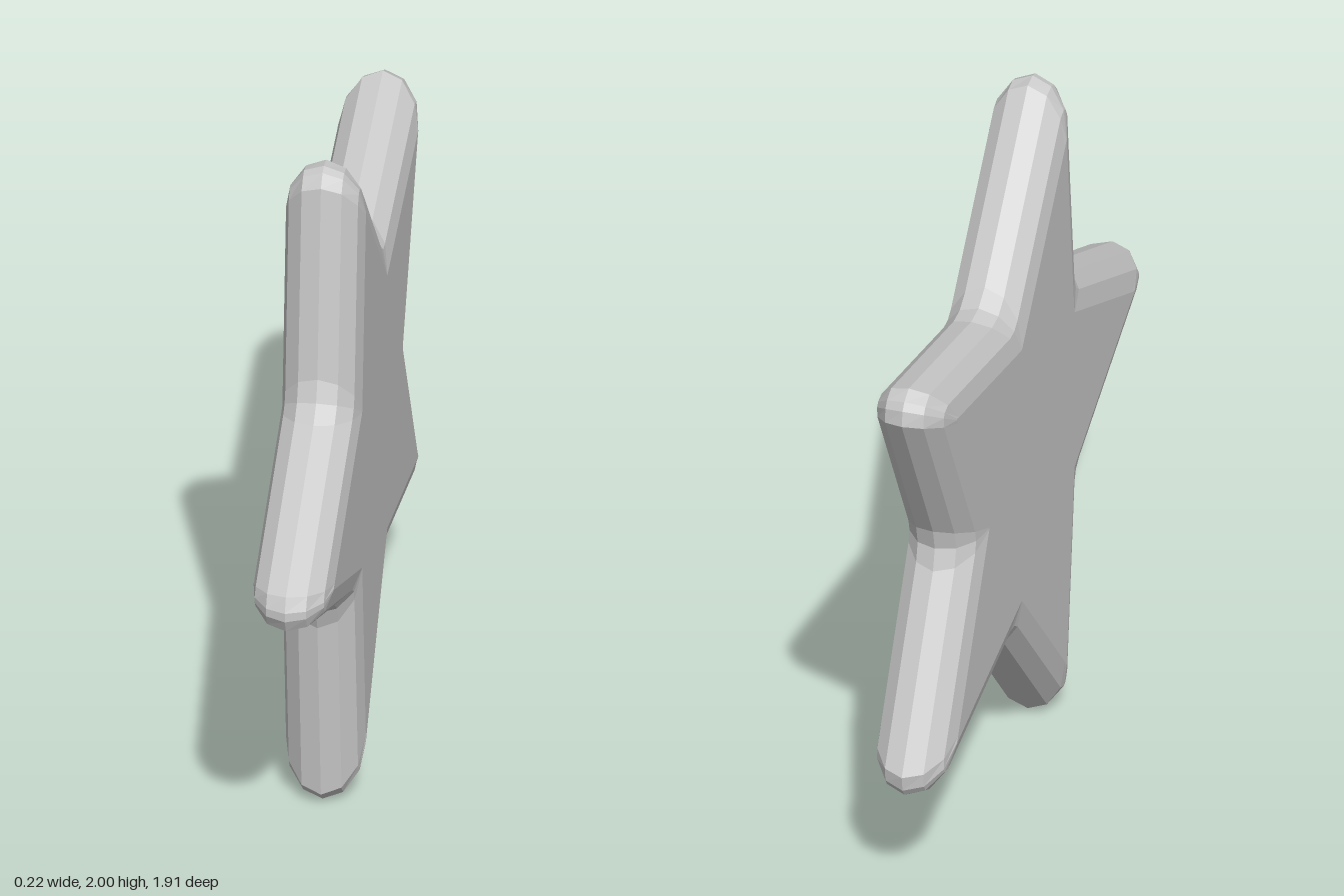
import * as THREE from 'three';

const ARMS = 5, HALF = 0.11, CENTRE_Z = -0.1;
const NX = 0.416, NY = 0.909; // outward normal of an arm's side, arm pointing along +u
const rotate = ([u, v], a) => [u * Math.cos(a) - v * Math.sin(a), u * Math.sin(a) + v * Math.cos(a)];

// Star outline at one step of the rounded rim (s = 0 at the flat face, 1 at the equator)
function outline(s) {
  const d = 0.366 + HALF * s;             // distance of the arm's side from the centre
  const tip = 0.88 + 0.167 * s;
  const su = tip - 0.02, sv = (d - NX * su) / NY; // shoulder of the blunt tip
  const step = Math.PI / ARMS;
  const r = d / (NX * Math.cos(step) + NY * Math.sin(step)); // sharp valley radius
  const f = 0.005 + 0.068 * s;            // valley fillet length
  const polar = (q) => [q * Math.cos(step), q * Math.sin(step)];
  const v = polar(r);
  const a = [v[0] + f * NY, v[1] - f * NX];
  const b = rotate([a[0], -a[1]], 2 * step);
  const arm = [[su, -sv], [tip, -sv * 0.25], [tip, sv * 0.25], [su, sv], a, polar(r + 0.27 * f), b];
  const points = [];
  for (let i = 0; i < ARMS; i++) for (const p of arm) points.push(rotate(p, 2 * step * i));
  return points;
}

function starGeometry() {
  const pos = [], idx = [], levels = 6;
  const add = (x, u, v) => pos.push(x, 1 + v, CENTRE_Z + u);
  let n = 0;
  // Rings across the thickness, following a half circle
  for (let i = 0; i <= levels; i++) {
    const t = (Math.PI * i) / levels;
    const ring = outline(Math.sin(t));
    n = ring.length;
    for (const [u, v] of ring) add(HALF * Math.cos(t), u, v);
  }
  for (let i = 0; i < levels; i++) {
    for (let j = 0; j < n; j++) {
      const k = (j + 1) % n;
      const a = i * n + j, b = i * n + k, c = a + n, d = b + n;
      idx.push(a, b, c, b, d, c);
    }
  }
  // Flat faces, fanned from the middle
  const m = pos.length / 3, last = levels * n;
  add(HALF, 0, 0);
  add(-HALF, 0, 0);
  for (let j = 0; j < n; j++) {
    const k = (j + 1) % n;
    idx.push(m, k, j, m + 1, last + j, last + k);
  }
  const g = new THREE.BufferGeometry();
  g.setAttribute('position', new THREE.Float32BufferAttribute(pos, 3));
  g.setIndex(idx);
  const flat = g.toNonIndexed();
  flat.computeVertexNormals();
  return flat;
}

export function createModel() {
  const group = new THREE.Group();
  group.name = 'star';
  const material = new THREE.MeshStandardMaterial({ color: 0xcccccc, flatShading: true });
  const star = new THREE.Mesh(starGeometry(), material);
  star.name = 'starBody';
  group.add(star);
  return group;
}
